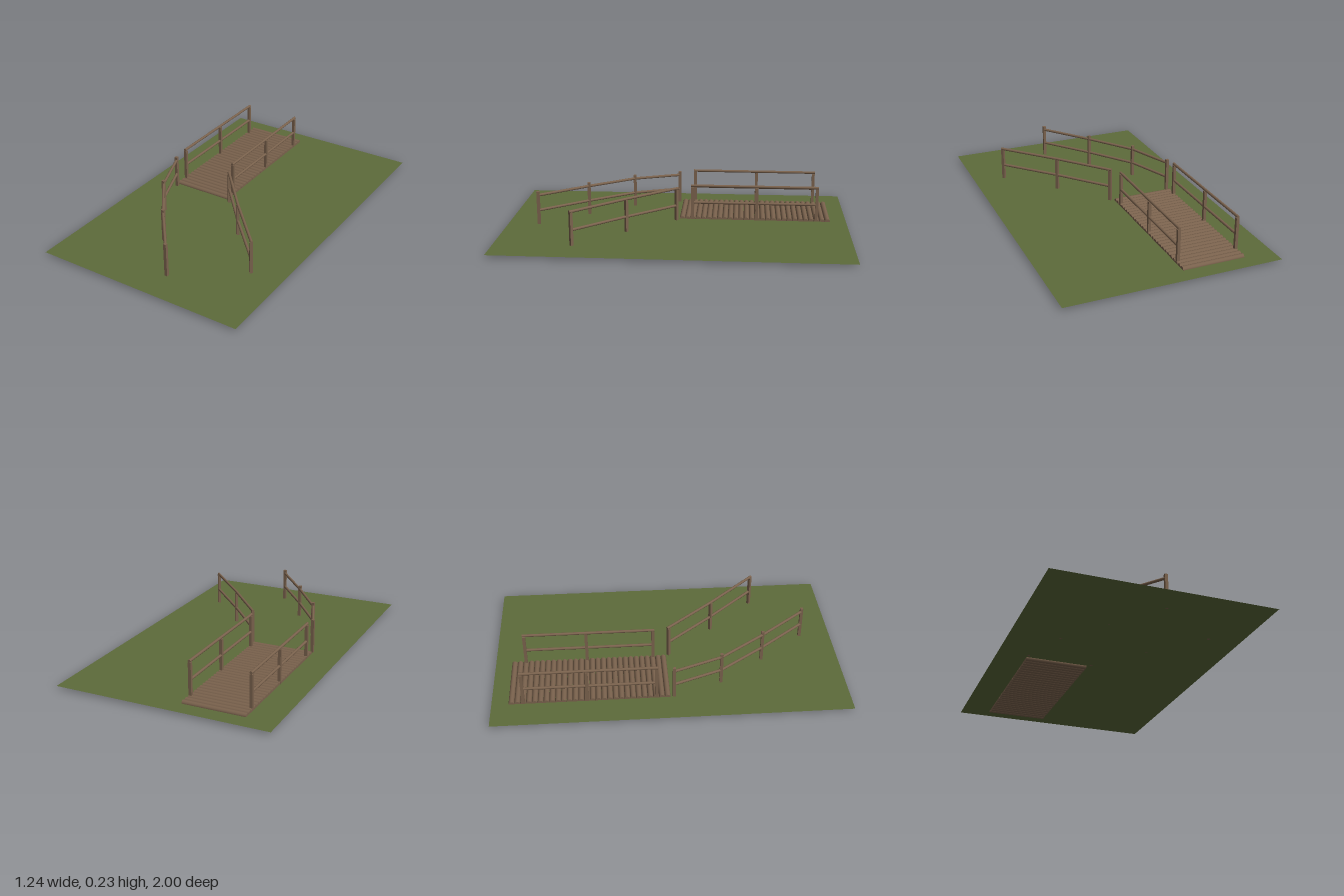
import * as THREE from 'three';

const GROUND_Y = 0.018;

export function createModel() {
  const model = new THREE.Group();
  const grass = new THREE.MeshStandardMaterial({ color: 0x5d6b3a, side: THREE.DoubleSide });
  grass.name = 'grass green';
  const wood = new THREE.MeshStandardMaterial({ color: 0x7a624d });
  wood.name = 'weathered wood';

  const add = (parent, name, geometry, material) => {
    const mesh = new THREE.Mesh(geometry, material);
    mesh.name = name;
    parent.add(mesh);
    return mesh;
  };

  // Round pole between two points
  const pole = (parent, name, a, b, radius) => {
    const dir = b.clone().sub(a);
    const mesh = add(parent, name, new THREE.CylinderGeometry(radius, radius, dir.length(), 12), wood);
    mesh.position.copy(a).add(b).multiplyScalar(0.5);
    mesh.quaternion.setFromUnitVectors(new THREE.Vector3(0, 1, 0), dir.normalize());
  };

  // Fence along [x, z] points: a square post at each, and rails between them
  const fence = (name, points, { top, width, turn = 0, rails, overhang = 0 }) => {
    const group = new THREE.Group();
    group.name = name;
    model.add(group);
    for (const [x, z] of points) {
      const post = add(group, 'post', new THREE.BoxGeometry(width, top - GROUND_Y, width), wood);
      post.position.set(x, (top + GROUND_Y) / 2, z);
      post.rotation.y = turn;
    }
    for (const { y, radius } of rails) {
      for (let i = 0; i < points.length - 1; i++) {
        const a = new THREE.Vector3(points[i][0], y, points[i][1]);
        const b = new THREE.Vector3(points[i + 1][0], y, points[i + 1][1]);
        const along = b.clone().sub(a).normalize().multiplyScalar(y > top ? overhang : 0);
        if (i === 0) a.sub(along);
        if (i === points.length - 2) b.add(along);
        pole(group, 'rail', a, b, radius);
      }
    }
  };

  // Flat ground sheet
  const ground = add(model, 'ground', new THREE.PlaneGeometry(1.236, 2), grass);
  ground.rotation.x = -Math.PI / 2;
  ground.position.y = GROUND_Y;

  // Log deck, half sunk in the ground
  const deck = new THREE.Group();
  deck.name = 'logDeck';
  model.add(deck);
  const logs = 28;
  for (let i = 0; i < logs; i++) {
    const z = -0.022 - (0.868 * i) / (logs - 1);
    pole(deck, 'log', new THREE.Vector3(-0.445, 0.018, z), new THREE.Vector3(-0.083, 0.018, z), 0.016);
  }

  // Handrails on both sides of the deck
  for (const [name, x] of [['rightHandrail', -0.437], ['leftHandrail', -0.092]]) {
    fence(name, [-0.083, -0.468, -0.823].map((z) => [x, z]), {
      top: 0.216, width: 0.017, overhang: 0.009,
      rails: [{ y: 0.224, radius: 0.008 }, { y: 0.12, radius: 0.008 }],
    });
  }

  // Straight path fence, with its posts turned to follow the path
  fence('leftPathFence', [[-0.06, 0.01], [0.175, 0.283], [0.432, 0.558]], {
    top: 0.209, width: 0.017, turn: 0.73, overhang: 0.01,
    rails: [{ y: 0.214, radius: 0.008 }, { y: 0.108, radius: 0.008 }],
  });

  // Bent path fence, with rails set into the posts
  fence('rightPathFence', [[-0.437, 0.015], [-0.332, 0.29], [-0.143, 0.55], [0.07, 0.817]], {
    top: 0.216, width: 0.017,
    rails: [{ y: 0.194, radius: 0.008 }, { y: 0.102, radius: 0.008 }],
  });

  return model;
}
